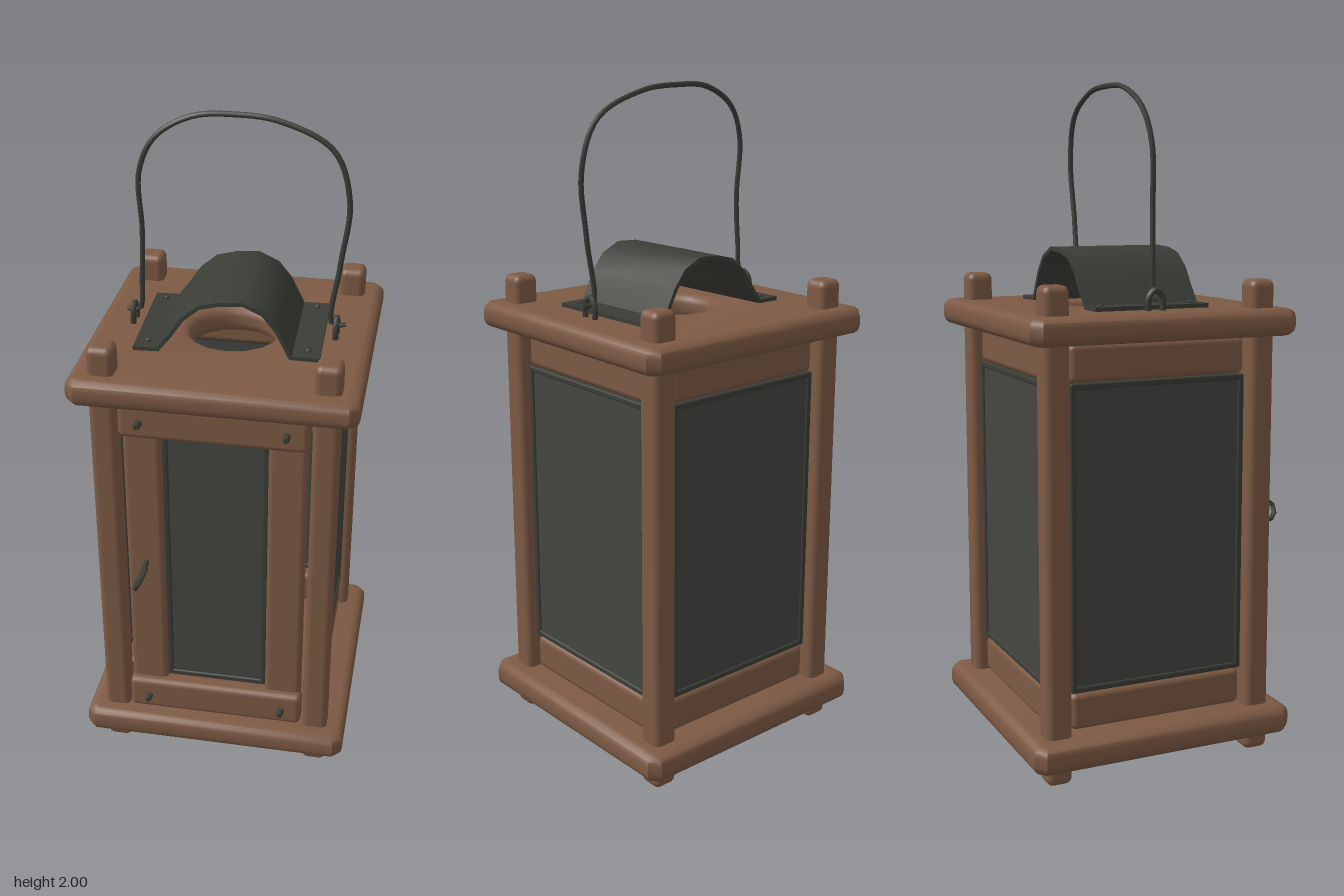
import * as THREE from 'three';
import { toCreasedNormals } from 'three/addons/utils/BufferGeometryUtils.js';
import { RoundedBoxGeometry } from 'three/addons/geometries/RoundedBoxGeometry.js';

const wood = new THREE.MeshStandardMaterial({ name: 'brown wood', color: 0x7d5a44 });
const iron = new THREE.MeshStandardMaterial({ name: 'dark iron', color: 0x3b3d37 });
const glass = new THREE.MeshStandardMaterial({ name: 'smoky glass', color: 0x444640 });

const CZ = -0.027; // centre of the lantern body in z
const POST_X = 0.32, POST_Z = 0.322;

function add(parent, name, geometry, material, x = 0, y = 0, z = 0) {
  const mesh = new THREE.Mesh(geometry, material);
  mesh.name = name;
  mesh.position.set(x, y, z);
  parent.add(mesh);
  return mesh;
}

const beam = (w, h, d, r) => new RoundedBoxGeometry(w, h, d, 2, r);

// Horizontal board with rounded rim, clipped corners and an optional round hole
function slabGeometry(height, holeRadius) {
  const bevel = 0.028, a = 0.414 - bevel, c = 0.012;
  const shape = new THREE.Shape([
    [-a + c, -a], [a - c, -a], [a, -a + c], [a, a - c],
    [a - c, a], [-a + c, a], [-a, a - c], [-a, -a + c],
  ].map(p => new THREE.Vector2(...p)));
  if (holeRadius) {
    const hole = new THREE.Path();
    hole.absarc(0, 0, holeRadius + bevel, 0, Math.PI * 2, true);
    shape.holes.push(hole);
  }
  const geo = new THREE.ExtrudeGeometry(shape, {
    depth: height - bevel * 2, bevelSize: bevel, bevelThickness: bevel, bevelSegments: 3, curveSegments: 8,
  });
  geo.translate(0, 0, -height / 2 + bevel);
  geo.rotateX(-Math.PI / 2);
  return toCreasedNormals(geo, 0.7);
}

// Tapered square post that narrows at the foot and the peg on top
function postGeometry() {
  const geo = new RoundedBoxGeometry(0.086, 1.435, 0.086, 3, 0.022);
  const p = geo.attributes.position;
  for (let i = 0; i < p.count; i++) {
    if (Math.abs(p.getY(i)) > 0.69) {
      p.setX(i, p.getX(i) * 0.9);
      p.setZ(i, p.getZ(i) * 0.9);
    }
  }
  return geo;
}

// Window pane with thin iron edging, facing +z
function addWindow(parent, width, z) {
  const y = 0.71, h = 0.9, t = 0.018;
  add(parent, 'pane', new THREE.BoxGeometry(width - t, h - t, 0.012), glass, 0, y, z);
  for (const s of [-1, 1]) {
    add(parent, 'edgingSide', beam(t, h, 0.024, 0.005), iron, s * (width - t) / 2, y, z);
    add(parent, 'edgingEnd', beam(width, t, 0.024, 0.005), iron, 0, y + s * (h - t) / 2, z);
  }
}

// Top and bottom rails, facing +z
function addRails(parent, z) {
  add(parent, 'upperRail', beam(0.55, 0.11, 0.06, 0.018), wood, 0, 1.215, z);
  add(parent, 'lowerRail', beam(0.55, 0.11, 0.06, 0.018), wood, 0, 0.202, z);
}

function addTube(parent, name, points, radius, segments) {
  const curve = new THREE.CatmullRomCurve3(points.map(p => new THREE.Vector3(...p)));
  return add(parent, name, new THREE.TubeGeometry(curve, segments, radius, 6), iron);
}

function buildHood() {
  const hood = new THREE.Group();
  hood.name = 'smokeHood';
  const t = 0.012;
  const top = [[-0.27, 1.364], [-0.2, 1.364], [-0.165, 1.41], [-0.13, 1.462], [-0.08, 1.504], [-0.02, 1.519],
    [0.05, 1.523], [0.11, 1.495], [0.15, 1.445], [0.19, 1.364], [0.27, 1.364]];
  // inner outline follows the outer one, moved in along the local normal
  const under = top.map(([x, y], i) => {
    const a = top[Math.max(i - 1, 0)], b = top[Math.min(i + 1, top.length - 1)];
    const dx = b[0] - a[0], dy = b[1] - a[1], l = Math.hypot(dx, dy);
    return [x + dy / l * t, y - dx / l * t];
  }).reverse();
  const shape = new THREE.Shape([...top, ...under].map(p => new THREE.Vector2(...p)));
  const geo = new THREE.ExtrudeGeometry(shape, { depth: 0.365, bevelEnabled: false });
  geo.translate(0, 0, -0.1825);
  add(hood, 'hoodSheet', toCreasedNormals(geo, 0.75), iron);
  for (const x of [-0.233, 0.233]) for (const z of [-0.15, 0.14]) {
    const nail = add(hood, 'hoodNail', new THREE.SphereGeometry(0.01, 6, 4), iron, x, 1.366, z);
    nail.scale.y = 0.7;
  }
  hood.position.z = CZ;
  hood.rotation.y = 0.03;
  return hood;
}

function buildHandle() {
  const handle = new THREE.Group();
  handle.name = 'carryingHandle';
  addTube(handle, 'handleWire', [
    [-0.325, 1.39, -0.03], [-0.288, 1.39, -0.027], [-0.276, 1.5, -0.025], [-0.27, 1.65, -0.022], [-0.275, 1.82, -0.028],
    [-0.23, 1.92, -0.037], [-0.125, 1.982, -0.046], [0, 1.992, -0.052], [0.125, 1.98, -0.048], [0.275, 1.91, -0.037],
    [0.325, 1.77, -0.028], [0.307, 1.58, -0.022], [0.29, 1.39, -0.027], [0.33, 1.39, -0.03],
  ], 0.008, 70);
  // staples that hold the wire ends
  for (const s of [-1, 1]) {
    addTube(handle, 'staple', [
      [s * 0.303, 1.34, -0.05], [s * 0.303, 1.39, -0.049], [s * 0.303, 1.412, -0.028],
      [s * 0.303, 1.39, -0.007], [s * 0.303, 1.34, -0.006],
    ], 0.009, 14);
  }
  return handle;
}

function buildFront() {
  const front = new THREE.Group();
  front.name = 'door';
  addRails(front, 0.31);
  // upright boards beside the window
  for (const s of [-1, 1]) {
    add(front, 'doorBoard', beam(0.115, 0.95, 0.045, 0.018), wood, s * 0.213, 0.71, 0.29);
    for (const y of [0.2, 1.215]) {
      const nail = add(front, 'doorNail', new THREE.CylinderGeometry(0.009, 0.013, 0.03, 6), iron, s * 0.212, y, 0.35);
      nail.rotation.x = Math.PI / 2;
    }
  }
  addWindow(front, 0.315, 0.285);
  // ring pull
  const pull = new THREE.Group();
  pull.name = 'ringPull';
  const stem = add(pull, 'pullStem', new THREE.CylinderGeometry(0.008, 0.008, 0.07, 6), iron, 0, 0, 0.33);
  stem.rotation.x = Math.PI / 2;
  const ring = add(pull, 'pullRing', new THREE.TorusGeometry(0.034, 0.008, 6, 9), iron, 0, 0, 0.397);
  ring.rotation.set(0, Math.PI / 2, -0.45, 'ZYX');
  pull.position.set(-0.21, 0.71, 0);
  front.add(pull);
  return front;
}

export function createModel() {
  const lantern = new THREE.Group();
  lantern.name = 'lantern';

  // base and roof boards
  add(lantern, 'baseBoard', slabGeometry(0.085), wood, 0, 0.1, CZ);
  add(lantern, 'roofBoard', slabGeometry(0.08, 0.13), wood, 0, 1.312, CZ);

  // corner posts run through both boards
  for (const x of [-POST_X, POST_X]) for (const z of [-POST_Z, POST_Z]) {
    add(lantern, 'cornerPost', postGeometry(), wood, x, 0.7175, CZ + z);
  }

  // glazed left, right and back walls
  for (const [name, angle] of [['leftWall', Math.PI / 2], ['rightWall', -Math.PI / 2], ['backWall', Math.PI]]) {
    const wall = new THREE.Group();
    wall.name = name;
    addRails(wall, 0.3);
    addWindow(wall, 0.55, 0.32);
    wall.position.z = CZ;
    wall.rotation.y = angle;
    lantern.add(wall);
  }

  lantern.add(buildFront(), buildHood(), buildHandle());
  return lantern;
}
